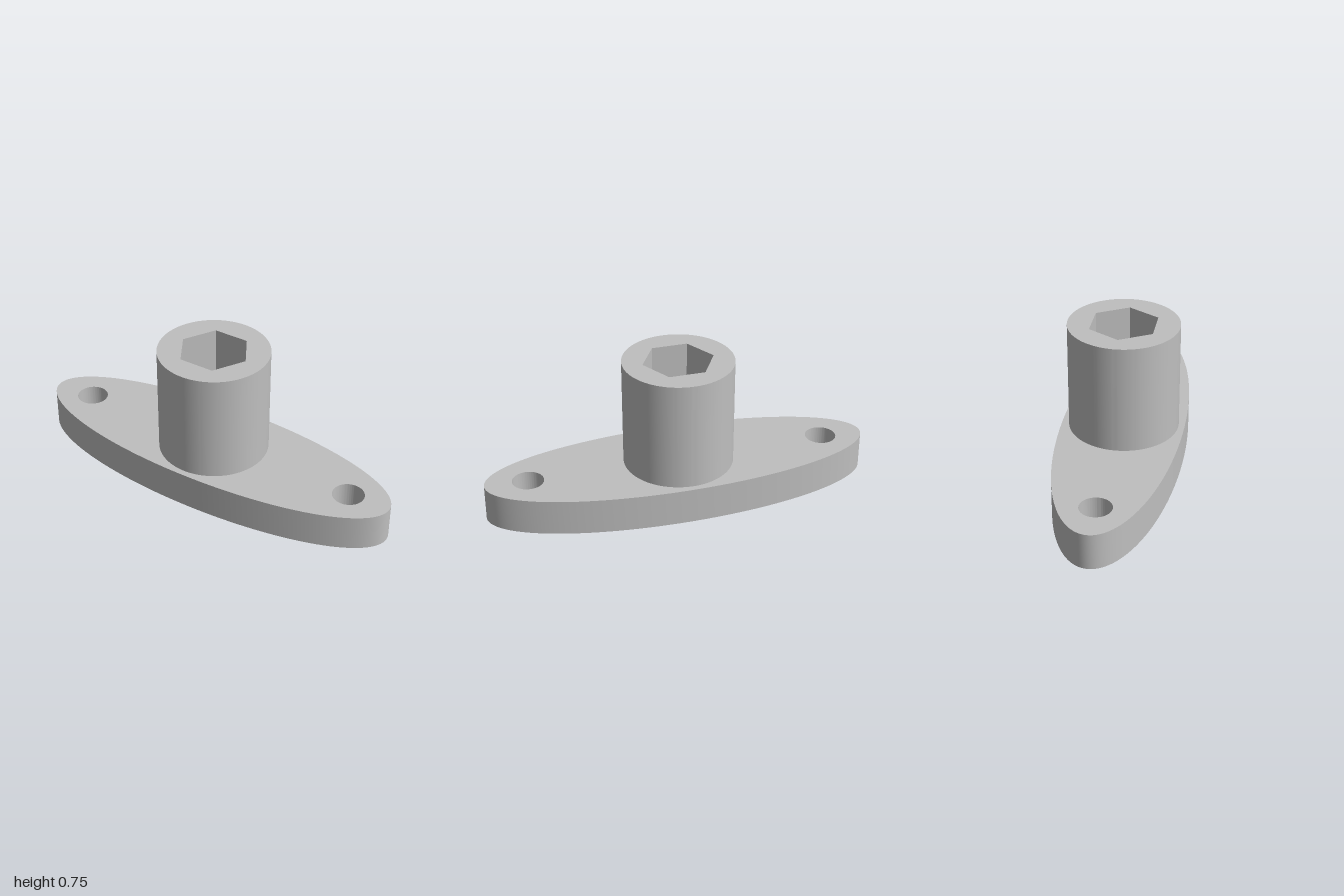
import * as THREE from 'three';
import { toCreasedNormals } from 'three/addons/utils/BufferGeometryUtils.js';

const PLATE_TOP = 0.1875;
const POST_TOP = 0.75;

// Extrude a plan outline upward from y = bottom to y = top
function extrudeUp(shape, bottom, top) {
  const geometry = new THREE.ExtrudeGeometry(shape, {
    depth: top - bottom, bevelEnabled: false, curveSegments: 96,
  });
  geometry.rotateX(-Math.PI / 2).translate(0, bottom, 0);
  return toCreasedNormals(geometry, 0.6);
}

function ellipse(Type, x, rx, ry) {
  const path = new Type();
  path.absellipse(x, 0, rx, ry, 0, Math.PI * 2);
  return path;
}

export function createModel() {
  const group = new THREE.Group();
  group.name = 'flangedSocketPost';
  const metal = new THREE.MeshStandardMaterial({ color: 0xbfbfbf });
  metal.name = 'grey metal';

  // Elliptical base plate with a bolt hole near each end
  const plateShape = ellipse(THREE.Shape, 0, 1, 0.3125);
  for (const side of [-1, 1]) {
    plateShape.holes.push(ellipse(THREE.Path, side * 0.78, 0.08, 0.08));
  }
  const plate = new THREE.Mesh(extrudeUp(plateShape, 0, PLATE_TOP), metal);
  plate.name = 'basePlate';

  // Round post with a hexagonal socket; the plate closes the socket below
  const postShape = ellipse(THREE.Shape, 0, 0.281, 0.281);
  const corners = [];
  for (let i = 0; i < 6; i++) {
    const a = (i * Math.PI) / 3;
    corners.push(new THREE.Vector2(0.182 * Math.cos(a), 0.182 * Math.sin(a)));
  }
  postShape.holes.push(new THREE.Path(corners).closePath() ?? new THREE.Path(corners));
  const post = new THREE.Mesh(extrudeUp(postShape, PLATE_TOP, POST_TOP), metal);
  post.name = 'socketPost';

  group.add(plate, post);
  return group;
}
